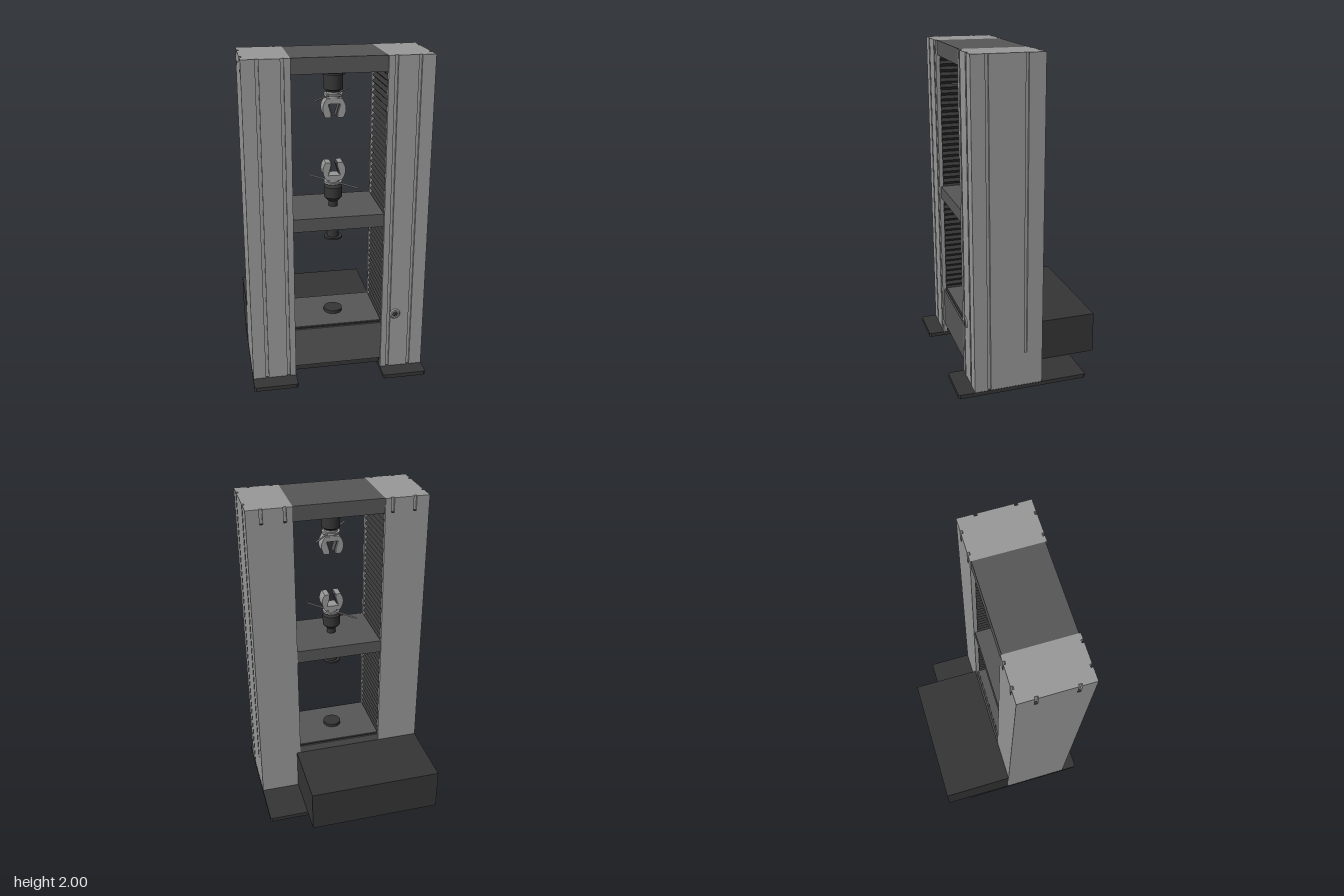
import * as THREE from 'three';

const mat = (name, color) => {
  const m = new THREE.MeshStandardMaterial({ color });
  m.name = name;
  return m;
};

export function createModel() {
  const aluminium = mat('aluminium', 0x999999);
  const steel = mat('steel grey', 0x575757);
  const dark = mat('dark grey', 0x353535);

  const root = new THREE.Group();
  root.name = 'tensileTestingMachine';
  const CZ = 0.17; // depth of the loading axis

  const add = (parent, name, geo, material) => {
    const m = new THREE.Mesh(geo, material);
    m.name = name;
    parent.add(m);
    return m;
  };
  // box given by its limits
  const box = (name, x0, x1, y0, y1, z0, z1, material, parent = root) => {
    const g = new THREE.BoxGeometry(x1 - x0, y1 - y0, z1 - z0);
    g.translate((x0 + x1) / 2, (y0 + y1) / 2, (z0 + z1) / 2);
    return add(parent, name, g, material);
  };
  // upright cylinder on the loading axis, from y0 to y1
  const disc = (name, y0, y1, r0, r1, material, parent = root) => {
    const g = new THREE.CylinderGeometry(r1, r0, y1 - y0, 40);
    g.translate(0, (y0 + y1) / 2, CZ);
    return add(parent, name, g, material);
  };
  // plan outline [x, z] raised from y0 to y1
  const raise = (pts, y0, y1) => {
    const shape = new THREE.Shape(pts.map(([x, z]) => new THREE.Vector2(x, -z)));
    const g = new THREE.ExtrudeGeometry(shape, { depth: y1 - y0, bevelEnabled: false });
    g.rotateX(-Math.PI / 2);
    g.translate(0, y0, 0);
    return g;
  };

  // Column section with slots; the inner recess holds the bellows
  const IN = 0.27, OUT = 0.537, BACK = -0.04, FRONT = 0.38, D = 0.013, W = 0.009;
  const frontSlots = [0.315, 0.45], sideSlots = [0.29, 0.065];
  const section = (side, front, outer, back, recess) => {
    const p = [[IN, FRONT]];
    for (const x of front) p.push([x - W, FRONT], [x - W, FRONT - D], [x + W, FRONT - D], [x + W, FRONT]);
    p.push([OUT, FRONT]);
    for (const z of outer) p.push([OUT, z + W], [OUT - D, z + W], [OUT - D, z - W], [OUT, z - W]);
    p.push([OUT, BACK]);
    for (const x of [...back].reverse()) p.push([x + W, BACK], [x + W, BACK + D], [x - W, BACK + D], [x - W, BACK]);
    p.push([IN, BACK]);
    if (recess) p.push([IN, -0.015], [IN + 0.03, -0.015], [IN + 0.03, 0.355], [IN, 0.355]);
    return p.map(([x, z]) => [x * side, z]);
  };

  for (const side of [1, -1]) {
    const col = new THREE.Group();
    col.name = side > 0 ? 'leftColumn' : 'rightColumn';
    root.add(col);
    const long = side > 0 ? [0.29] : [];
    const mid = side > 0 ? sideSlots : [];
    add(col, 'columnFoot', raise(section(side, frontSlots, long, [], true), 0.025, 0.24), aluminium);
    add(col, 'columnShaft', raise(section(side, frontSlots, mid, [], true), 0.24, 1.91), aluminium);
    add(col, 'columnHead', raise(section(side, frontSlots, sideSlots, frontSlots, false), 1.91, 2), aluminium);

    // dark floors of the short slots
    for (const x of frontSlots)
      box('slotFloor', side * x - W, side * x + W, 1.909, 1.914, BACK, BACK + D, dark, col);
    if (side < 0) for (const z of sideSlots)
      box('slotFloor', -OUT, -OUT + D, 1.909, 1.914, z - W, z + W, dark, col);

    // pleated bellows on the inner face
    const n = 52, y0 = 0.03, y1 = 1.91, s = new THREE.Shape();
    s.moveTo(side * (IN + 0.029), y0);
    for (let i = 0; i <= 2 * n; i++)
      s.lineTo(side * (IN + (i % 2 ? 0.003 : 0.02)), y0 + (y1 - y0) * i / (2 * n));
    s.lineTo(side * (IN + 0.029), y1);
    const bellows = new THREE.ExtrudeGeometry(s, { depth: 0.37, bevelEnabled: false });
    bellows.translate(0, 0, -0.015);
    add(col, 'bellows', bellows, dark);

    // foot plate with clipped corners
    const c = 0.01, a = 0.268, b = 0.539, z0 = -0.325, z1 = 0.48;
    const foot = [[a + c, z0], [b - c, z0], [b, z0 + c], [b, z1 - c], [b - c, z1], [a + c, z1], [a, z1 - c], [a, z0 + c]];
    add(col, 'footPlate', raise(foot.map(([x, z]) => [x * side, z]), 0, 0.025), dark);
  }

  // Cross beams, base and rear cabinet
  box('topBeam', -IN, IN, 1.91, 2, -0.033, 0.37, steel);
  box('movingBeam', -IN, IN, 0.99, 1.07, -0.033, 0.37, steel);
  box('baseBlock', -IN, IN, 0.085, 0.34, -0.033, 0.37, steel);
  box('baseUnderside', -IN, IN, 0.03, 0.085, -0.033, 0.33, dark);
  box('baseTopSeam', -IN, IN, 0.34, 0.346, -0.025, 0.36, dark);
  box('baseTopPlate', -IN, IN, 0.346, 0.35, -0.02, 0.35, steel);
  box('rearCabinet', -OUT, 0.295, 0.03, 0.297, -0.483, BACK, dark);
  disc('basePuck', 0.35, 0.37, 0.058, 0.058, dark);

  // Load cell under the top beam
  disc('loadCellFlange', 1.885, 1.91, 0.087, 0.087, dark);
  disc('loadCellRim', 1.872, 1.885, 0.07, 0.07, dark);
  disc('loadCellBody', 1.785, 1.872, 0.055, 0.055, dark);
  disc('loadCellNeck', 1.765, 1.785, 0.035, 0.05, dark);

  // Mount through the moving beam
  disc('mountNeck', 1.07, 1.105, 0.028, 0.028, dark);
  disc('mountCone', 1.105, 1.13, 0.032, 0.055, dark);
  disc('mountBody', 1.13, 1.195, 0.055, 0.055, dark);
  disc('mountShoulder', 1.195, 1.21, 0.055, 0.042, dark);
  disc('mountCollar', 0.955, 0.99, 0.06, 0.06, aluminium);
  disc('mountBolt', 0.87, 0.955, 0.035, 0.035, dark);
  disc('mountWasher', 0.86, 0.87, 0.055, 0.055, dark);

  // Wedge grip, built pointing up from y = 0
  const makeGrip = (name, y, flip) => {
    const grip = new THREE.Group();
    grip.name = name;
    grip.position.set(0, y, CZ);
    root.add(grip);
    const s = new THREE.Shape();
    s.moveTo(-0.045, 0.018);
    s.lineTo(0.045, 0.018);
    s.quadraticCurveTo(0.088, 0.075, 0.052, 0.13);
    s.lineTo(0.02, 0.13);
    s.lineTo(0.02, 0.108);
    s.lineTo(0.037, 0.05);
    s.lineTo(-0.037, 0.05);
    s.lineTo(-0.02, 0.108);
    s.lineTo(-0.02, 0.13);
    s.lineTo(-0.052, 0.13);
    s.quadraticCurveTo(-0.088, 0.075, -0.045, 0.018);
    const body = new THREE.ExtrudeGeometry(s, { depth: 0.08, bevelEnabled: false, curveSegments: 10 });
    body.translate(0, 0, -0.04);
    add(grip, 'gripBody', body, aluminium);
    // slanted jaw faces inside the opening
    for (const k of [1, -1]) {
      const jaw = add(grip, 'jawFace', new THREE.BoxGeometry(0.008, 0.07, 0.05), steel);
      jaw.position.set(k * 0.023, 0.09, 0);
      jaw.rotation.z = k * 0.28;
    }
    const nut = new THREE.CylinderGeometry(0.055, 0.055, 0.012, 32);
    add(grip, 'gripNut', nut, aluminium);
    const neck = new THREE.CylinderGeometry(0.04, 0.04, 0.036, 32);
    add(grip, 'gripNeck', neck, aluminium);
    const rod = add(grip, 'tighteningRod', new THREE.CylinderGeometry(0.005, 0.005, 0.38, 12), aluminium);
    rod.rotation.set(0, flip ? 0.86 : -0.86, Math.PI / 2);
    rod.rotation.order = 'YXZ';
    if (flip) grip.scale.y = -1;
  };
  makeGrip('lowerGrip', 1.222, false);
  makeGrip('upperGrip', 1.753, true);

  // Emergency stop on the front of the left column
  const knob = new THREE.Group();
  knob.name = 'stopKnob';
  knob.position.set(0.355, 0.4, FRONT);
  root.add(knob);
  const ring = add(knob, 'knobRing', new THREE.CylinderGeometry(0.026, 0.034, 0.008, 32), aluminium);
  ring.rotation.x = Math.PI / 2;
  ring.position.z = 0.003;
  const cap = add(knob, 'knobCap', new THREE.CylinderGeometry(0.016, 0.018, 0.008, 24), steel);
  cap.rotation.x = Math.PI / 2;
  cap.position.z = 0.008;
  for (const r of [Math.PI / 4, -Math.PI / 4]) {
    const bar = add(knob, 'knobCross', new THREE.BoxGeometry(0.028, 0.006, 0.004), dark);
    bar.position.z = 0.012;
    bar.rotation.z = r;
  }
  return root;
}
